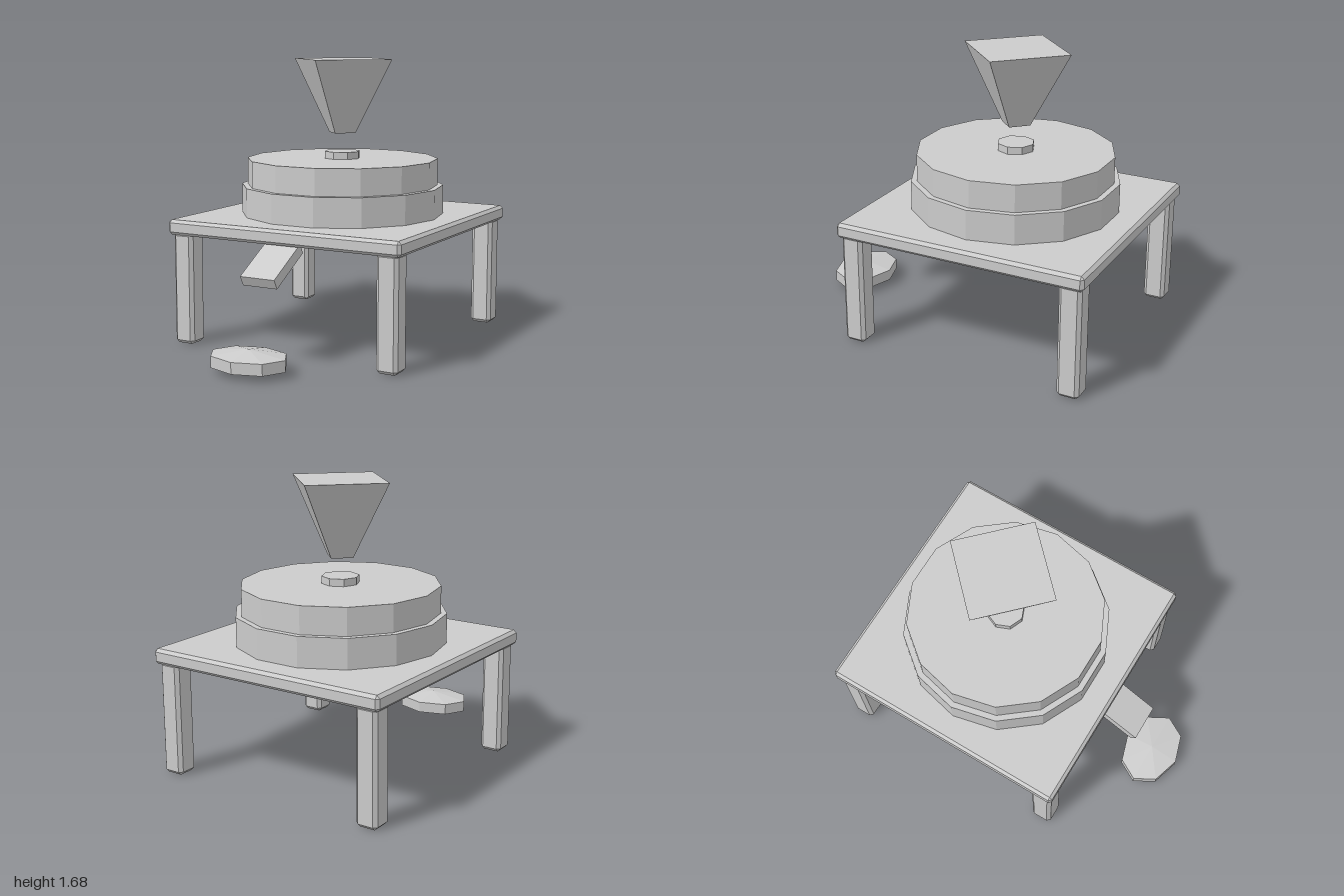
import * as THREE from 'three';
import { ConvexGeometry } from 'three/addons/geometries/ConvexGeometry.js';

const material = new THREE.MeshStandardMaterial({ color: 0xcccccc, flatShading: true });
const CENTRE_Z = -0.24; // axis of the table and mill stones

// Box with every edge cut by a single chamfer
function chamferBox(w, h, d, c) {
  const points = [];
  for (const x of [-1, 1]) for (const y of [-1, 1]) for (const z of [-1, 1]) {
    for (let axis = 0; axis < 3; axis++) {
      const inset = [c, c, c];
      inset[axis] = 0;
      points.push(new THREE.Vector3(
        x * (w / 2 - inset[0]), y * (h / 2 - inset[1]), z * (d / 2 - inset[2])));
    }
  }
  return new ConvexGeometry(points);
}

export function createModel() {
  const model = new THREE.Group();
  model.name = 'handMill';

  const add = (name, geometry, x, y, z) => {
    const mesh = new THREE.Mesh(geometry, material);
    mesh.name = name;
    mesh.position.set(x, y, z);
    model.add(mesh);
    return mesh;
  };

  // Upright faceted drum between two heights, with a corner on the x axis
  const drum = (name, rTop, rBottom, y0, y1, sides) => {
    const geometry = new THREE.CylinderGeometry(rTop, rBottom, y1 - y0, sides);
    geometry.rotateY(Math.PI / 2);
    return add(name, geometry, 0, (y0 + y1) / 2, CENTRE_Z);
  };

  // Table
  add('tableTop', chamferBox(1.52, 0.09, 1.52, 0.018), 0, 0.7, CENTRE_Z);
  for (const [side, sx] of [['Left', 1], ['Right', -1]]) {
    for (const [end, sz] of [['front', 1], ['back', -1]]) {
      add(`${end}${side}Leg`, chamferBox(0.132, 0.67, 0.132, 0.02),
        sx * 0.67, 0.335, CENTRE_Z + sz * 0.675);
    }
  }

  // Mill stones, hub and hopper
  drum('lowerStone', 0.615, 0.615, 0.74, 0.92, 14);
  drum('upperStone', 0.58, 0.58, 0.92, 1.08, 14);
  drum('hub', 0.11, 0.11, 1.08, 1.123, 8);
  drum('hopper', 0.334, 0.09, 1.235, 1.68, 4);

  // Chute sloping down to the front
  add('chute', new THREE.BoxGeometry(0.22, 0.063, 0.32), 0, 0.56, 0.58)
    .rotation.x = THREE.MathUtils.degToRad(29);

  // Flattened sack lying below the chute
  const profile = [[0, 0], [1, 0.037], [1, 0.103], [0, 0.135]]
    .map(([x, y]) => new THREE.Vector2(x, y));
  add('floorSack', new THREE.LatheGeometry(profile, 8), 0, 0, 0.825)
    .scale.set(0.234, 1, 0.175);

  return model;
}
